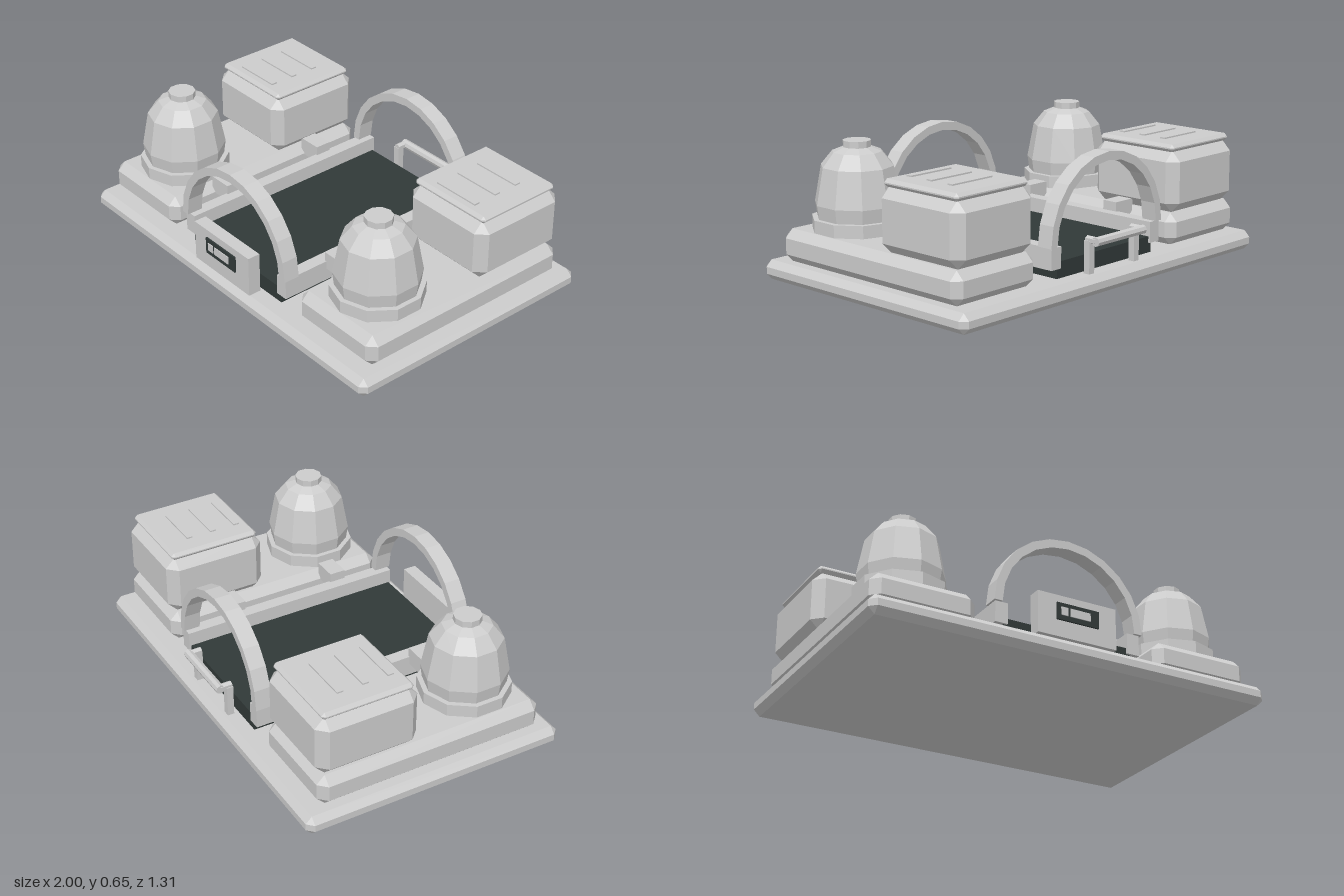
import * as THREE from 'three';
import { ConvexGeometry } from 'three/addons/geometries/ConvexGeometry.js';

export function createModel() {
  const model = new THREE.Group();
  const shell = new THREE.MeshStandardMaterial({ color: 0xcccccc, flatShading: true });
  shell.name = 'light grey shell';
  const dark = new THREE.MeshStandardMaterial({ color: 0x313938, flatShading: true });
  dark.name = 'dark slate';

  function add(name, geometry, material, x = 0, y = 0, z = 0, parent = model) {
    const mesh = new THREE.Mesh(geometry, material);
    mesh.name = name;
    mesh.position.set(x, y, z);
    parent.add(mesh);
    return mesh;
  }

  // Plain box given by its minimum and maximum on each axis
  function box(name, material, [x0, x1], [y0, y1], [z0, z1], parent = model) {
    const g = new THREE.BoxGeometry(x1 - x0, y1 - y0, z1 - z0);
    return add(name, g, material, (x0 + x1) / 2, (y0 + y1) / 2, (z0 + z1) / 2, parent);
  }

  // Box with every edge and corner cut off by c
  function chamferBox(w, h, d, c) {
    const points = [];
    for (const sx of [-1, 1]) for (const sy of [-1, 1]) for (const sz of [-1, 1]) {
      for (let axis = 0; axis < 3; axis++) {
        const cut = [c, c, c];
        cut[axis] = 0;
        points.push(new THREE.Vector3(
          sx * (w / 2 - cut[0]), sy * (h / 2 - cut[1]), sz * (d / 2 - cut[2])));
      }
    }
    return new ConvexGeometry(points);
  }

  // Ground plate
  add('basePlate', chamferBox(2, 0.093, 1.305, 0.03), shell, 0, 0.0465, 0.003);

  // Middle bed
  box('bed', dark, [-0.325, 0.325], [0.09, 0.17], [-0.55, 0.55]);

  // Arches over both ends of the bed
  const archShape = new THREE.Shape();
  const steps = 12;
  const arc = (r, i) => [r * Math.cos(Math.PI * i / steps), r * Math.sin(Math.PI * i / steps)];
  archShape.moveTo(...arc(0.38, 0));
  for (let i = 1; i <= steps; i++) archShape.lineTo(...arc(0.38, i));
  for (let i = steps; i >= 0; i--) archShape.lineTo(...arc(0.34, i));
  archShape.closePath();
  const archGeometry = new THREE.ExtrudeGeometry(archShape, { depth: 0.08, bevelEnabled: false });
  add('frontArch', archGeometry, shell, 0, 0.24, 0.493);
  add('backArch', archGeometry, shell, 0, 0.24, -0.567);

  // Dome profile, from the rim up
  const domeProfile = [
    [0.19, 0.3], [0.2, 0.37], [0.168, 0.54], [0.115, 0.605], [0.065, 0.625], [0, 0.625],
  ].map(([r, y]) => new THREE.Vector2(r, y));

  // Matching left and right sides
  for (const s of [-1, 1]) {
    const side = new THREE.Group();
    side.name = s > 0 ? 'leftSide' : 'rightSide';
    model.add(side);
    const cx = s * 0.708;
    const span = (a, b) => (s > 0 ? [a, b] : [-b, -a]);

    add('plinth', chamferBox(0.5, 0.155, 1.14, 0.04), shell, cx, 0.1685, 0.003, side);
    box('rail', shell, span(0.308, 0.37), [0.14, 0.24], [-0.56, 0.56], side);
    box('backConnector', shell, span(0.36, 0.48), [0.2, 0.285], [-0.31, -0.23], side);
    box('frontConnector', shell, span(0.36, 0.48), [0.2, 0.285], [0.245, 0.325], side);

    // Domed tank
    add('domeCollar', new THREE.CylinderGeometry(0.215, 0.215, 0.065, 10), shell, cx, 0.273, 0.318, side);
    add('dome', new THREE.LatheGeometry(domeProfile, 10), shell, cx, 0, 0.318, side);
    add('domeCap', new THREE.CylinderGeometry(0.065, 0.065, 0.04, 10), shell, cx, 0.635, 0.318, side);

    // Square unit with vented lid
    add('unitBody', chamferBox(0.485, 0.295, 0.505, 0.048), shell, cx, 0.3925, -0.315, side);
    add('unitLid', chamferBox(0.44, 0.036, 0.45, 0.015), shell, cx, 0.554, -0.315, side);
    for (const z of [-0.15, -0.275, -0.4]) {
      add('ventSlat', new THREE.BoxGeometry(0.24, 0.01, 0.03), shell, cx, 0.574, z, side);
    }

    // Handle post and stub
    box('handlePost', shell, span(0.138, 0.172), [0.09, 0.245], [-0.605, -0.573], side);
    const stub = add('handleStub', new THREE.CylinderGeometry(0.018, 0.018, 0.06, 6), shell, s * 0.152, 0.247, -0.605, side);
    stub.rotation.x = Math.PI / 2;
  }

  // Handle bar across the back
  const bar = add('handleBar', new THREE.CylinderGeometry(0.022, 0.022, 0.33, 8), shell, 0, 0.245, -0.634);
  bar.rotation.z = Math.PI / 2;

  // Front control panel with display
  box('controlPanel', shell, [-0.2, 0.2], [0.1, 0.3], [0.572, 0.635]);
  box('display', dark, [-0.107, 0.107], [0.18, 0.262], [0.635, 0.643]);
  box('displayButton', shell, [-0.087, -0.052], [0.203, 0.242], [0.643, 0.647]);
  box('displayBar', shell, [-0.04, 0.062], [0.203, 0.242], [0.643, 0.647]);

  return model;
}
